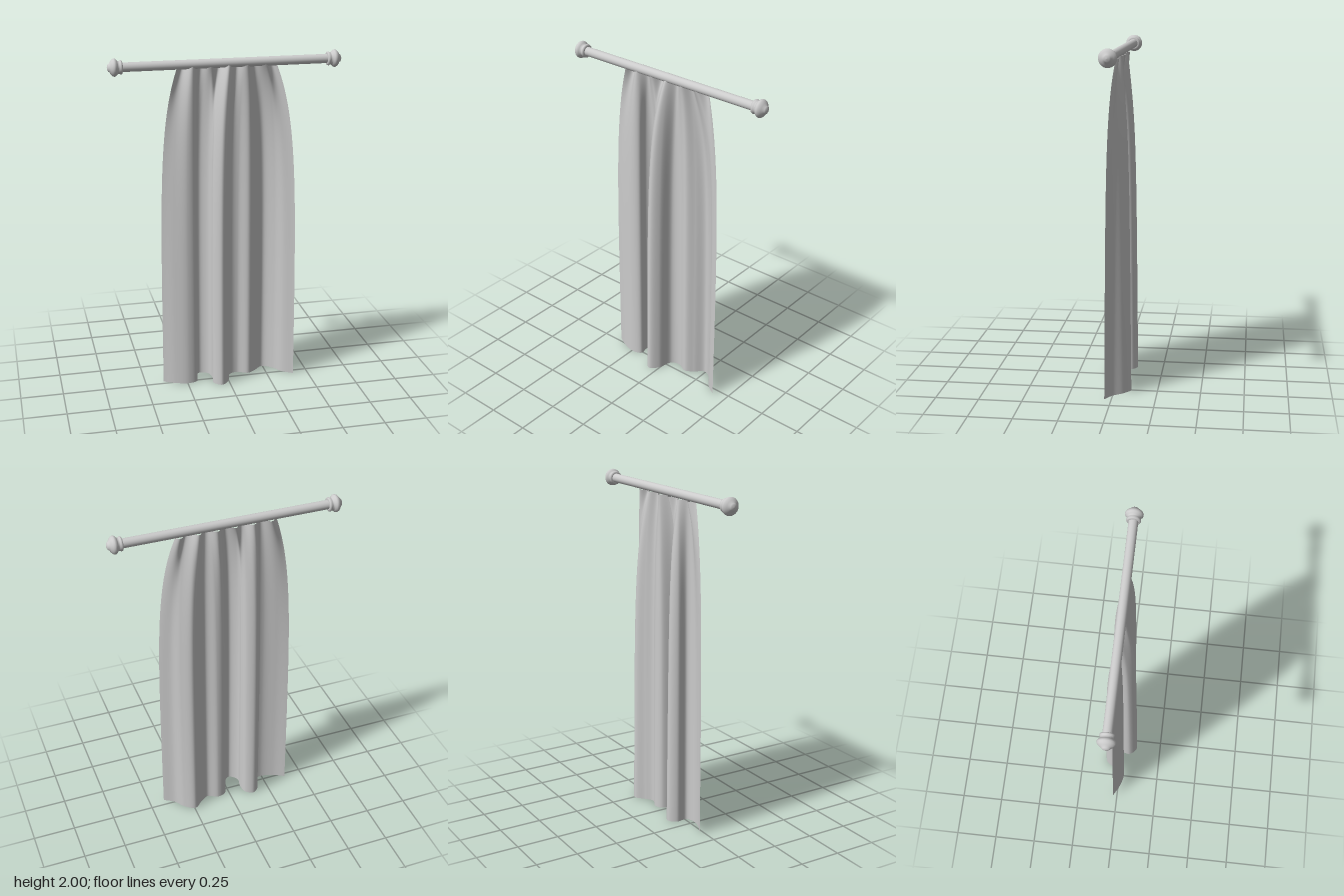
import * as THREE from 'three';
import { ParametricGeometry } from 'three/addons/geometries/ParametricGeometry.js';

const material = new THREE.MeshStandardMaterial({ color: 0xcccccc });
const clothMaterial = new THREE.MeshStandardMaterial({ color: 0xcccccc, side: THREE.DoubleSide });
const ROD_Y = 1.95, ROD_Z = -0.013;

// Path of the hem on the ground, as x and z
const hem = new THREE.CatmullRomCurve3([
  [-0.39, -0.025], [-0.32, 0.012], [-0.24, 0.03], [-0.187, 0.01], [-0.19, -0.055],
  [-0.15, -0.095], [-0.1, -0.07], [-0.088, -0.01], [-0.095, 0.055], [-0.05, 0.096],
  [-0.005, 0.055], [0.025, -0.035], [0.075, -0.052], [0.14, -0.025], [0.19, -0.055],
  [0.245, -0.097], [0.305, -0.06], [0.35, 0.0], [0.41, 0.04],
].map(([x, z]) => new THREE.Vector3(x, 0, z)));

// Cloth: small gathers at the rod that spread into the broad folds of the hem
function curtainPoint(u, v, target) {
  const d = v * v * 0.5 + v * 0.5; // rows closer together near the rod
  const h = hem.getPointAt(u);
  const gather = Math.cos((Math.PI * 2 * (u - 0.15)) / 0.18);
  const spreadX = (1 - Math.exp(-6 * d)) / (1 - Math.exp(-6));
  const spreadZ = 0.75 * (1 - Math.exp(-8 * d)) + 0.25 * d;
  const top = 1.922 + 0.022 * Math.pow((gather + 1) / 2, 3);
  target.set(
    THREE.MathUtils.lerp(-0.285 + 0.58 * u, h.x, spreadX),
    top * (1 - d) + 0.005 * d,
    THREE.MathUtils.lerp(-0.01 + 0.02 * gather, h.z, spreadZ),
  );
}

// Turned end knob: radius and distance along the rod
const finialProfile = [
  [0, 0.585], [0.03, 0.585], [0.038, 0.588], [0.04, 0.595], [0.036, 0.602], [0.034, 0.61],
  [0.042, 0.616], [0.049, 0.624], [0.05, 0.632], [0.046, 0.641], [0.035, 0.651],
  [0.024, 0.657], [0.021, 0.663], [0.013, 0.668], [0, 0.67],
].map(([r, y]) => new THREE.Vector2(r, y));

export function createModel() {
  const group = new THREE.Group();
  const add = (name, geometry, mat = material) => {
    const mesh = new THREE.Mesh(geometry, mat);
    mesh.name = name;
    group.add(mesh);
    return mesh;
  };

  const rod = add('rod', new THREE.CylinderGeometry(0.026, 0.026, 1.18, 32));
  rod.rotation.z = Math.PI / 2;
  rod.position.set(0, ROD_Y, ROD_Z);

  for (const [name, side] of [['leftFinial', 1], ['rightFinial', -1]]) {
    const finial = add(name, new THREE.LatheGeometry(finialProfile, 32));
    finial.rotation.z = -side * Math.PI / 2;
    finial.position.set(0, ROD_Y, ROD_Z);
  }

  add('curtain', new ParametricGeometry(curtainPoint, 160, 60), clothMaterial);
  return group;
}
